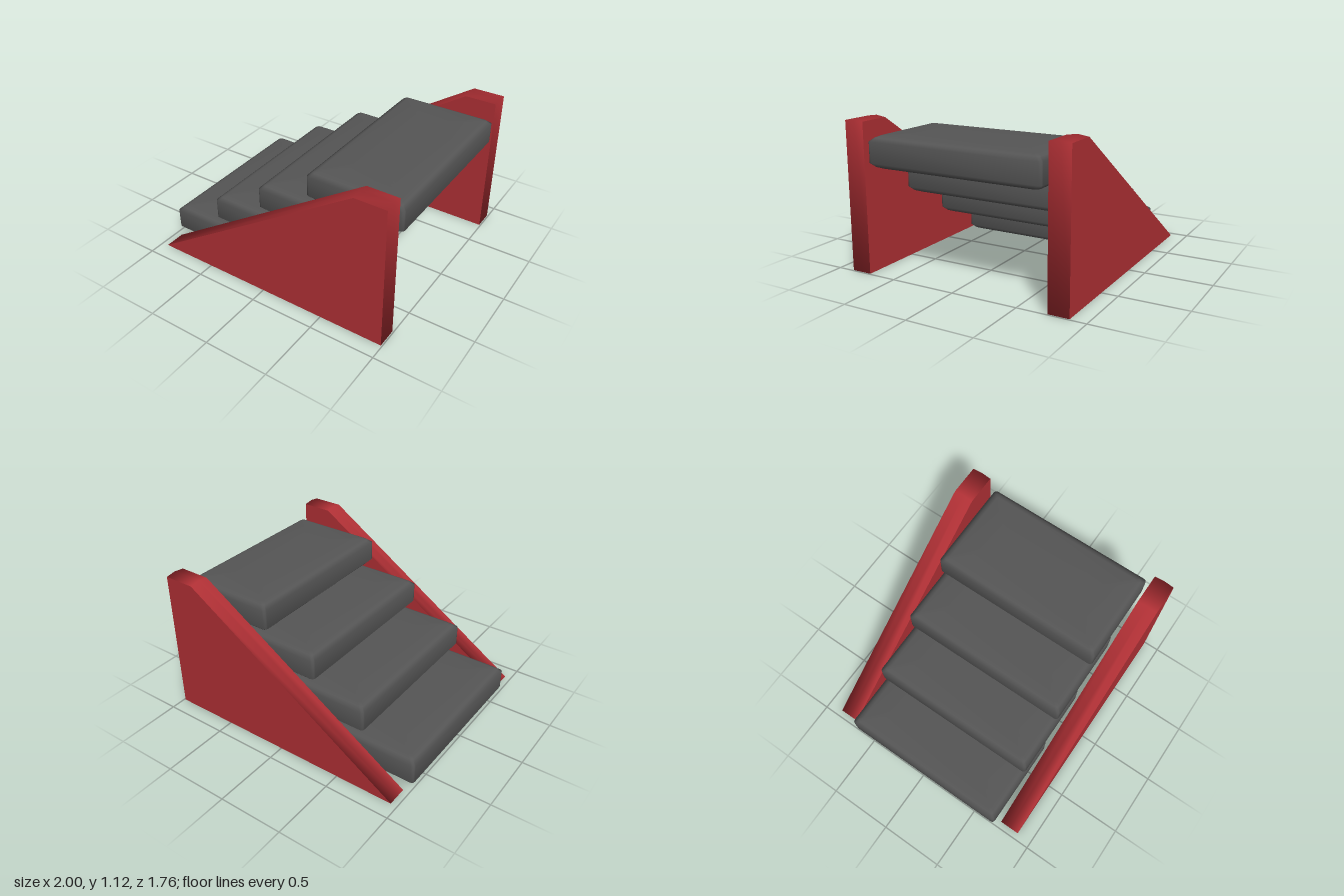
import * as THREE from 'three';

const red = new THREE.MeshStandardMaterial({ color: 0xb03035 });
const grey = new THREE.MeshStandardMaterial({ color: 0x555555 });

// Rounded rectangle in plan, as [x, z] points
function planLoop(hx, hz, r) {
  const loop = [];
  const corners = [[1, 1], [-1, 1], [-1, -1], [1, -1]];
  corners.forEach(([sx, sz], q) => {
    for (let i = 0; i <= 3; i++) {
      const a = (q + i / 3) * Math.PI / 2;
      loop.push([sx * (hx - r) + Math.cos(a) * r, sz * (hz - r) + Math.sin(a) * r]);
    }
  });
  return loop;
}

// Softly puffed slab made of stacked plan loops: [height, inset]
function cushionGeometry(hx, hz) {
  const levels = [[0, 0.24], [0.006, 0.065], [0.02, 0.03], [0.05, 0], [0.2, 0], [0.226, 0.03], [0.239, 0.06], [0.245, 0.24]];
  const pos = [], idx = [];
  for (const [y, inset] of levels) {
    for (const [x, z] of planLoop(hx - inset, hz - inset, 0.025)) pos.push(x, y, z);
  }
  const n = 16;
  for (let l = 0; l < levels.length - 1; l++) {
    for (let i = 0; i < n; i++) {
      const j = (i + 1) % n, a = l * n, b = a + n;
      idx.push(a + i, b + i, b + j, a + i, b + j, a + j);
    }
  }
  // Flat middles of the underside and the top
  const top = (levels.length - 1) * n;
  for (let i = 1; i < n - 1; i++) {
    idx.push(0, i, i + 1, top, top + i + 1, top + i);
  }
  const g = new THREE.BufferGeometry();
  g.setAttribute('position', new THREE.Float32BufferAttribute(pos, 3));
  g.setIndex(idx);
  g.computeVertexNormals();
  return g;
}

// Wedge-shaped side panel: flat faces and a smooth rim with a slight ridge on top
function sidePanel(name, z) {
  const panel = new THREE.Group();
  panel.name = name;
  const half = 0.078;
  const outline = [[-0.95, 0], [0.99, 0], [0.99, 1.11], [0.75, 1.11]];
  const pos = [], idx = [];
  [-half, 0, half].forEach((pz) => {
    for (const [x, y] of outline) pos.push(x, y + (pz === 0 && y > 1 ? 0.011 : 0), pz);
  });
  for (let l = 0; l < 2; l++) {
    for (let i = 0; i < 4; i++) {
      const j = (i + 1) % 4, a = l * 4, b = a + 4;
      idx.push(a + i, a + j, b + j, a + i, b + j, b + i);
    }
  }
  const rim = new THREE.BufferGeometry();
  rim.setAttribute('position', new THREE.Float32BufferAttribute(pos, 3));
  rim.setIndex(idx);
  rim.computeVertexNormals();
  const rimMesh = new THREE.Mesh(rim, red);
  rimMesh.name = name + 'Rim';
  panel.add(rimMesh);

  const shape = new THREE.Shape(outline.map(([x, y]) => new THREE.Vector2(x, y)));
  const front = new THREE.Mesh(new THREE.ShapeGeometry(shape), red);
  front.name = name + 'FrontFace';
  front.position.z = half;
  const mirrored = new THREE.Shape(outline.map(([x, y]) => new THREE.Vector2(-x, y)));
  const back = new THREE.Mesh(new THREE.ShapeGeometry(mirrored), red);
  back.name = name + 'BackFace';
  back.rotation.y = Math.PI;
  back.position.z = -half;
  panel.add(front, back);
  panel.position.z = z;
  return panel;
}

export function createModel() {
  const model = new THREE.Group();
  model.name = 'stairs';

  // Four overlapping treads
  const tread = cushionGeometry(0.372, 0.68);
  for (let i = 0; i < 4; i++) {
    const step = new THREE.Mesh(tread, grey);
    step.name = 'step' + (i + 1);
    step.position.set(-0.628 + i * 0.4187, i * 0.2587, 0);
    model.add(step);
  }

  // Side panels
  model.add(sidePanel('frontPanel', 0.8), sidePanel('backPanel', -0.8));
  return model;
}
